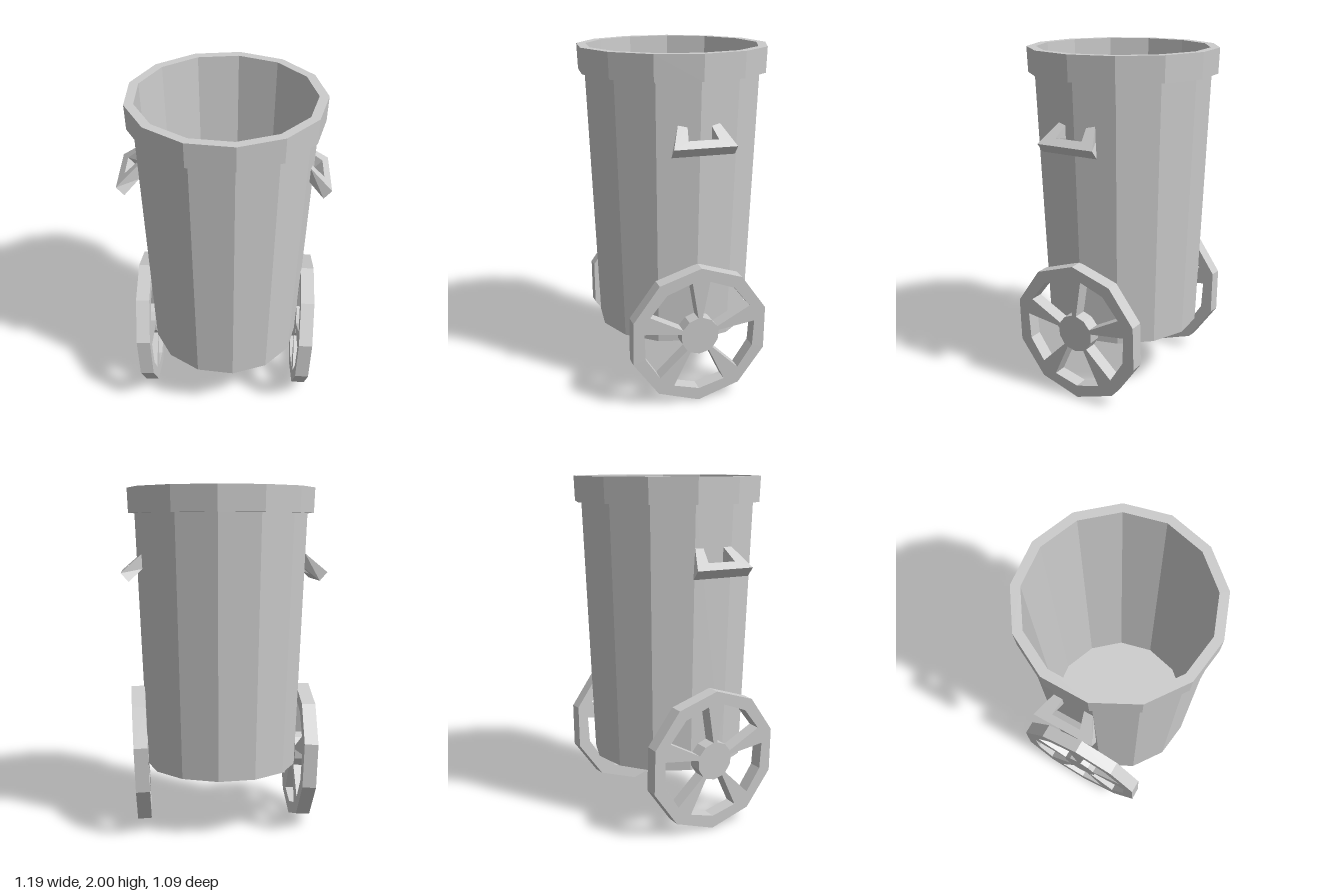
import * as THREE from 'three';

const material = new THREE.MeshStandardMaterial({ color: 0xcccccc, flatShading: true });

function addMesh(parent, name, geometry) {
  const mesh = new THREE.Mesh(geometry, material);
  mesh.name = name;
  parent.add(mesh);
  return mesh;
}

// Point at a clockwise angle (degrees) from straight up
function polar(radius, degrees) {
  const a = THREE.MathUtils.degToRad(degrees);
  return new THREE.Vector2(radius * Math.sin(a), radius * Math.cos(a));
}

// Thirteen-sided tapered bin: floor, outer wall, rim band and hollow inside
function binGeometry() {
  const profile = [
    [0, 0.352], [0.447, 0.352], [0.508, 1.855], [0.545, 1.855],
    [0.551, 2], [0.498, 2], [0.433, 0.37], [0, 0.37],
  ].map(([r, y]) => new THREE.Vector2(r, y));
  return new THREE.LatheGeometry(profile, 13, Math.PI / 2);
}

// Ten-sided wheel with five cut-outs that leave a hub and wedge-shaped spokes
function wheelGeometry(width) {
  const shape = new THREE.Shape(Array.from({ length: 10 }, (_, i) => polar(0.413, -i * 36)));
  for (let i = 0; i < 5; i++) {
    const cutout = [[0.333, 9], [0.338, 36], [0.333, 63], [0.112, 65.5], [0.112, 36], [0.112, 6.5]];
    shape.holes.push(new THREE.Path(cutout.map(([r, a]) => polar(r, a + i * 72))));
  }
  const geometry = new THREE.ExtrudeGeometry(shape, { depth: width, bevelEnabled: false });
  return geometry.translate(0, 0, -width / 2).rotateY(Math.PI / 2);
}

// U-shaped handle sloping down and away from the wall
function handleGeometry() {
  const half = [[0.178, 0], [0.118, 0.162], [0.065, 0.162], [0.085, 0.053]];
  const mirrored = half.map(([x, y]) => [-x, y]).reverse();
  const shape = new THREE.Shape([...half, ...mirrored].map(([x, y]) => new THREE.Vector2(x, y)));
  const geometry = new THREE.ExtrudeGeometry(shape, { depth: 0.067, bevelEnabled: false });

  // Cut the arm ends parallel to the wall so they stop inside it
  const p = geometry.attributes.position;
  for (let i = 0; i < p.count; i++) {
    if (p.getY(i) > 0.1) p.setY(i, p.getY(i) - p.getZ(i) * 0.82);
  }
  const across = new THREE.Vector3(0, 0, 1);
  const inward = new THREE.Vector3(-0.75, 0.66, 0).normalize();
  const down = across.clone().cross(inward);
  geometry.applyMatrix4(new THREE.Matrix4().makeBasis(across, inward, down).setPosition(0.597, 1.515, 0));
  geometry.computeVertexNormals();
  return geometry;
}

export function createModel() {
  const model = new THREE.Group();
  model.name = 'wheeledBin';

  addMesh(model, 'bin', binGeometry()).position.x = 0.008;

  const wheelShape = wheelGeometry(0.08);
  const handleShape = handleGeometry();

  // Each side has a handle and a slightly tilted wheel
  for (const [side, turn, wheelX] of [['left', 0, 0.492], ['right', Math.PI, 0.473]]) {
    const group = new THREE.Group();
    group.name = side + 'Side';
    group.rotation.y = turn;
    addMesh(group, side + 'Handle', handleShape);

    const wheel = addMesh(group, side + 'Wheel', wheelShape);
    wheel.position.set(wheelX, 0.415, 0);
    wheel.rotation.z = -0.04;
    model.add(group);
  }
  return model;
}
